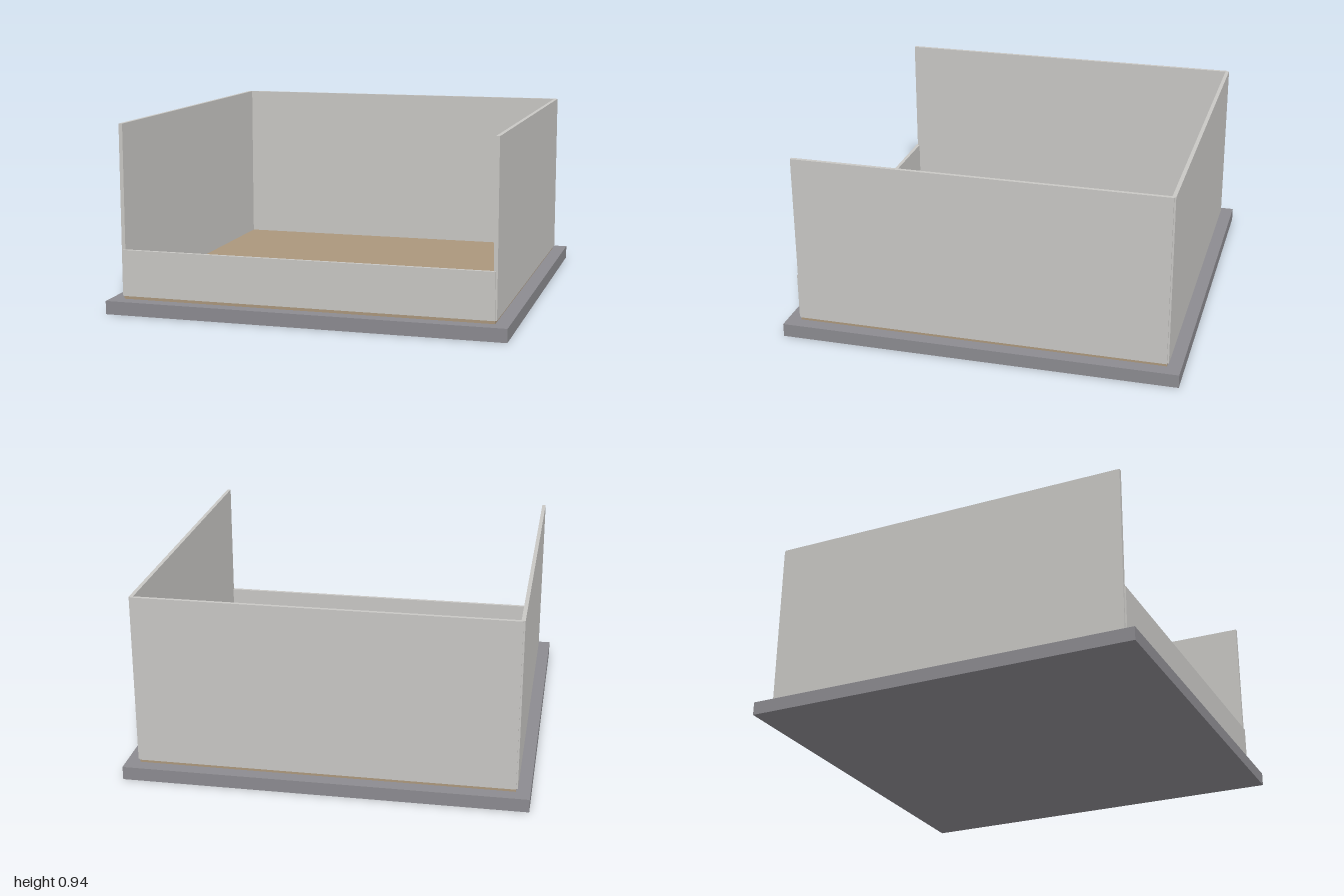
import * as THREE from 'three';

export function createModel() {
  const model = new THREE.Group();
  model.name = 'openFrontRoom';

  const material = (name, color) => {
    const m = new THREE.MeshStandardMaterial({ color });
    m.name = name;
    return m;
  };
  const slabGrey = material('slabGrey', 0x8c8b90);
  const floorTan = material('floorTan', 0xab977c);
  const wallGrey = material('wallGrey', 0xc8c7c4);

  // Box placed by its centre in x and z and by its bottom in y
  const addBox = (name, mat, w, h, d, x, bottom, z) => {
    const mesh = new THREE.Mesh(new THREE.BoxGeometry(w, h, d), mat);
    mesh.name = name;
    mesh.position.set(x, bottom + h / 2, z);
    model.add(mesh);
  };

  const slabTop = 0.067, floorTop = 0.083;
  const span = 1.86, thick = 0.019, offset = 0.929;
  const tall = 0.857, low = 0.232;

  // Foundation slab and floor
  addBox('foundationSlab', slabGrey, 2, slabTop, 2, 0, 0, 0);
  addBox('floor', floorTan, span, floorTop - slabTop, span, 0, slabTop, 0);

  // Walls stand on the floor edge, with a low one in front
  for (const [name, side] of [['leftWall', 1], ['rightWall', -1]]) {
    addBox(name, wallGrey, thick, tall, span, side * offset, floorTop, 0);
  }
  addBox('backWall', wallGrey, span, tall, thick, 0, floorTop, -offset);
  addBox('lowFrontWall', wallGrey, span, low, thick, 0, floorTop, offset);

  return model;
}
